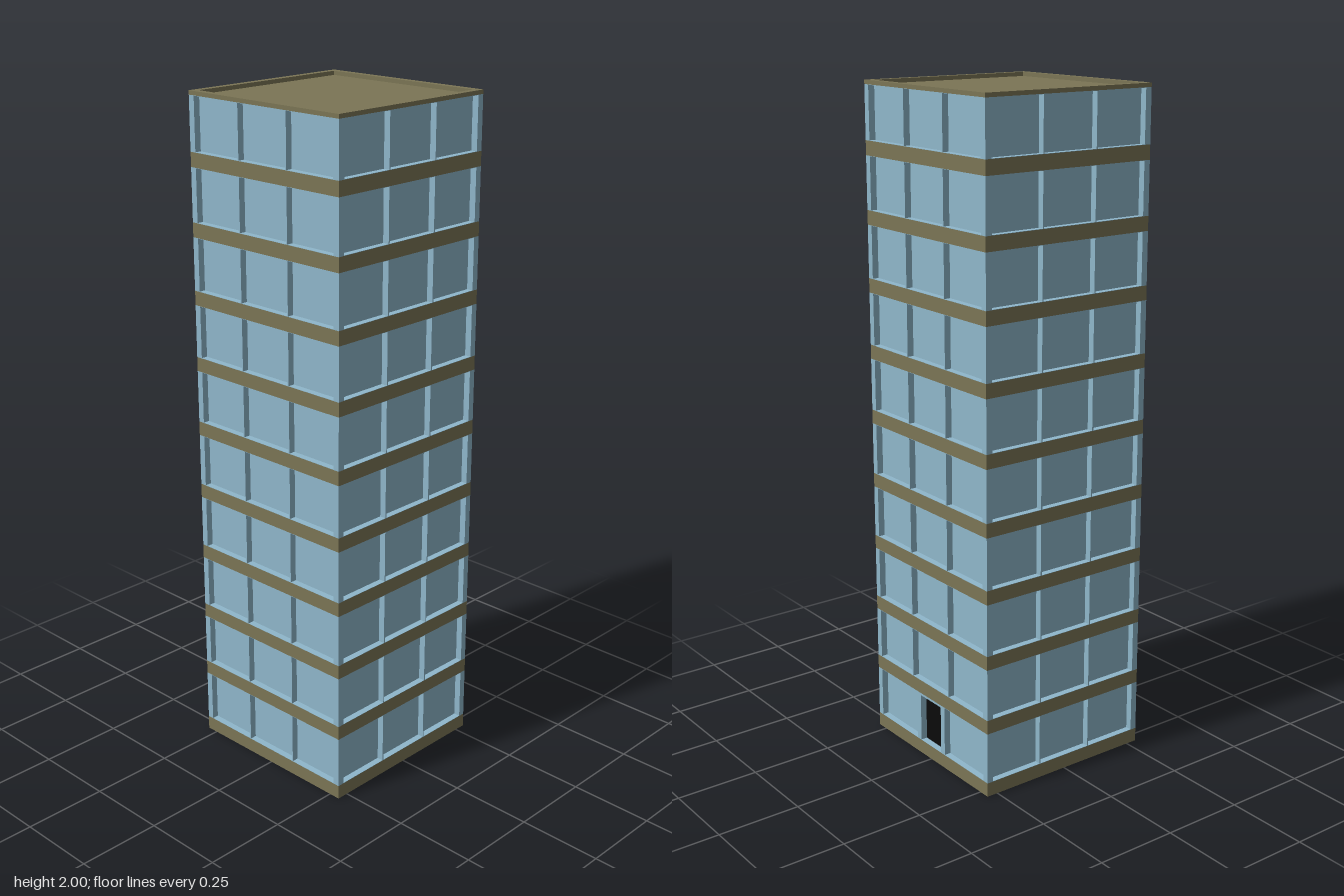
import * as THREE from 'three';

const HALF = 0.285, DEPTH = 0.02, INNER = HALF - DEPTH;
const FLOORS = 10, STEP = 0.1988, BAND = 0.0425, TOP = 2;

const stone = new THREE.MeshStandardMaterial({ color: 0x7b7555, side: THREE.DoubleSide, flatShading: true });
const glass = new THREE.MeshStandardMaterial({ color: 0x8fb7cb, side: THREE.DoubleSide });
const black = new THREE.MeshStandardMaterial({ color: 0x0a0a0a, side: THREE.DoubleSide });

function add(parent, name, geometry, material, x = 0, y = 0, z = 0) {
  const mesh = new THREE.Mesh(geometry, material);
  mesh.name = name;
  mesh.position.set(x, y, z);
  parent.add(mesh);
  return mesh;
}

// Rectangle outline from two opposite corners
function rect(Type, x0, y0, x1, y1) {
  const r = new Type();
  r.moveTo(x0, y0);
  r.lineTo(x1, y0);
  r.lineTo(x1, y1);
  r.lineTo(x0, y1);
  r.closePath();
  return r;
}

// Hollow square sleeve, open above and below
function sleeve(height) {
  const r = HALF * Math.SQRT2;
  return new THREE.CylinderGeometry(r, r, height, 4, 1, true, Math.PI / 4);
}

// One storey of one side: a thin frame with recessed panels behind its openings
function createBay(bays) {
  const bay = new THREE.Group();
  bay.name = 'windowBay';
  const outline = rect(THREE.Shape, -HALF, BAND, HALF, STEP);
  for (const { x0, x1, door } of bays) {
    const y0 = BAND + 0.001;
    const y1 = door ? STEP - 0.007 : STEP - 0.001;
    outline.holes.push(rect(THREE.Path, x0, y0, x1, y1));
    add(bay, door ? 'door' : 'windowPane', new THREE.PlaneGeometry(x1 - x0, y1 - y0),
      door ? black : glass, (x0 + x1) / 2, (y0 + y1) / 2, INNER);
  }
  const frame = new THREE.ExtrudeGeometry(outline, { depth: DEPTH, bevelEnabled: false });
  add(bay, 'windowFrame', frame, glass, 0, 0, INNER);
  return bay;
}

export function createModel() {
  const model = new THREE.Group();
  model.name = 'towerBlock';

  const windows = [
    { x0: -INNER, x1: -0.094 },
    { x0: -0.09, x1: 0.09 },
    { x0: 0.094, x1: INNER },
  ];
  const entrance = [
    { x0: -INNER, x1: -0.071 },
    { x0: -0.052, x1: 0.052, door: true },
    { x0: 0.071, x1: INNER },
  ];

  // Storeys: a solid band with glazing above it on all four sides
  for (let f = 0; f < FLOORS; f++) {
    const storey = new THREE.Group();
    storey.name = 'storey';
    storey.position.y = f * STEP;
    add(storey, 'floorBand', sleeve(BAND), stone, 0, BAND / 2, 0);
    for (let side = 0; side < 4; side++) {
      const bay = createBay(f === 0 && side === 1 ? entrance : windows);
      bay.rotation.y = side * Math.PI / 2;
      storey.add(bay);
    }
    model.add(storey);
  }

  // Roof: raised rim around a sunken deck
  const roofY = FLOORS * STEP;
  const rimShape = rect(THREE.Shape, -HALF, -HALF, HALF, HALF);
  rimShape.holes.push(rect(THREE.Path, -INNER, -INNER, INNER, INNER));
  const rim = new THREE.ExtrudeGeometry(rimShape, { depth: TOP - roofY, bevelEnabled: false });
  add(model, 'roofRim', rim, stone, 0, roofY, 0).rotation.x = -Math.PI / 2;
  const deck = new THREE.PlaneGeometry(2 * INNER, 2 * INNER);
  add(model, 'roofDeck', deck, stone, 0, roofY, 0).rotation.x = -Math.PI / 2;

  return model;
}
